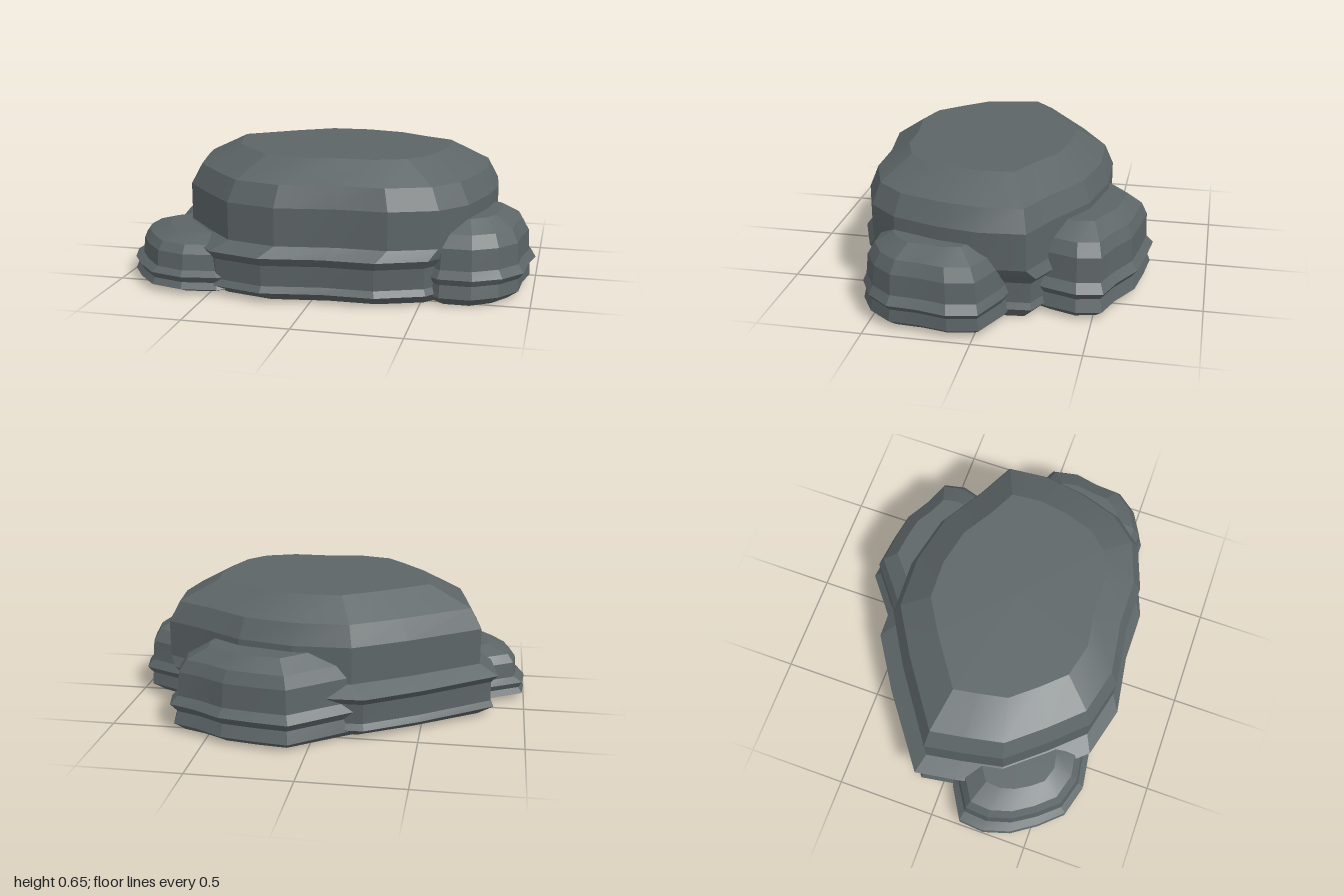
import * as THREE from 'three';
import { toCreasedNormals } from 'three/addons/utils/BufferGeometryUtils.js';

// Loft a plan outline [x, z] (back edge runs towards +x) through levels [y, scaleX, scaleZ, shiftX, shiftZ]
function stone(name, material, [cx, cz], outline, levels) {
  const n = outline.length, pos = [], idx = [];
  for (const [y, sx, sz = sx, dx = 0, dz = 0] of levels) {
    for (const [x, z] of outline) {
      pos.push(cx + (x - cx) * sx + dx, y, cz + (z - cz) * sz + dz);
    }
  }
  for (let l = 0; l < levels.length - 1; l++) {
    for (let i = 0; i < n; i++) {
      const a = l * n + i, b = l * n + (i + 1) % n;
      idx.push(a, a + n, b, b, a + n, b + n);
    }
  }
  // flat underside and flat top
  const last = levels.length - 1, bottom = pos.length / 3, top = bottom + 1;
  pos.push(cx, levels[0][0], cz, cx, levels[last][0], cz);
  for (let i = 0; i < n; i++) {
    const j = (i + 1) % n;
    idx.push(bottom, i, j, top, last * n + j, last * n + i);
  }
  const geo = new THREE.BufferGeometry();
  geo.setAttribute('position', new THREE.Float32BufferAttribute(pos, 3));
  geo.setIndex(idx);
  const mesh = new THREE.Mesh(toCreasedNormals(geo, 0.25), material);
  mesh.name = name;
  return mesh;
}

export function createModel() {
  const group = new THREE.Group();
  group.name = 'rockCluster';
  const slate = new THREE.MeshStandardMaterial({ color: 0x5d6567 });
  slate.name = 'slate grey';

  // Large central boulder with two ledges near the ground
  group.add(stone('mainBoulder', slate, [0.05, 0.09], [
    [-0.77, -0.1], [-0.43, -0.34], [-0.18, -0.49], [0.1, -0.5], [0.37, -0.44],
    [0.6, -0.3], [0.78, -0.21], [0.8, 0], [0.77, 0.2], [0.7, 0.42], [0.58, 0.56],
    [0.36, 0.64], [0.12, 0.64], [-0.16, 0.68], [-0.4, 0.62], [-0.55, 0.46],
    [-0.7, 0.28], [-0.74, 0.08],
  ], [
    [0, 0.95, 0.93, -0.04], [0.05, 1.02, 1.06, -0.06], [0.08, 1.0, 1.03, -0.06],
    [0.18, 1.0, 1.04, -0.06], [0.22, 1.04, 1.1, -0.06, -0.01], [0.27, 1.0],
    [0.45, 1.0], [0.55, 0.93], [0.65, 0.68],
  ]));

  // Boulder on the +x side
  group.add(stone('leftBoulder', slate, [0.68, 0.22], [
    [0.46, -0.06], [0.62, -0.14], [0.79, -0.11], [0.97, -0.03], [1.0, 0.11],
    [0.97, 0.25], [0.96, 0.39], [0.87, 0.5], [0.74, 0.57], [0.58, 0.57],
    [0.43, 0.46], [0.38, 0.2],
  ], [
    [0, 0.74, 0.88], [0.04, 0.92, 1.0], [0.1, 0.91, 0.96], [0.13, 1.0],
    [0.17, 0.9, 0.95], [0.27, 0.88, 0.92], [0.33, 0.78, 0.82], [0.385, 0.5, 0.58],
  ]));

  // Boulder at the back
  group.add(stone('backBoulder', slate, [0.23, -0.36], [
    [-0.26, -0.46], [-0.12, -0.57], [0.08, -0.73], [0.25, -0.71], [0.42, -0.68],
    [0.56, -0.6], [0.69, -0.55], [0.715, -0.43], [0.67, -0.28], [0.6, -0.12],
    [0.2, -0.02], [-0.18, -0.15],
  ], [
    [0, 0.87, 0.8], [0.04, 0.97], [0.1, 0.93, 0.91], [0.14, 1.0],
    [0.18, 0.92, 0.91], [0.3, 0.9], [0.36, 0.82, 0.83], [0.42, 0.6, 0.64],
  ]));

  // Low boulder on the -x side
  group.add(stone('rightBoulder', slate, [-0.62, 0.32], [
    [-0.99, 0.15], [-0.84, 0.06], [-0.6, 0], [-0.35, 0.1], [-0.28, 0.35],
    [-0.32, 0.57], [-0.45, 0.66], [-0.62, 0.685], [-0.78, 0.64], [-0.88, 0.53],
    [-0.96, 0.41], [-1.0, 0.28],
  ], [
    [0, 0.76, 0.8], [0.03, 1.0], [0.06, 0.95], [0.09, 1.0], [0.115, 0.88, 0.92],
    [0.19, 0.86, 0.89], [0.23, 0.78, 0.8], [0.265, 0.48, 0.55],
  ]));

  return group;
}
